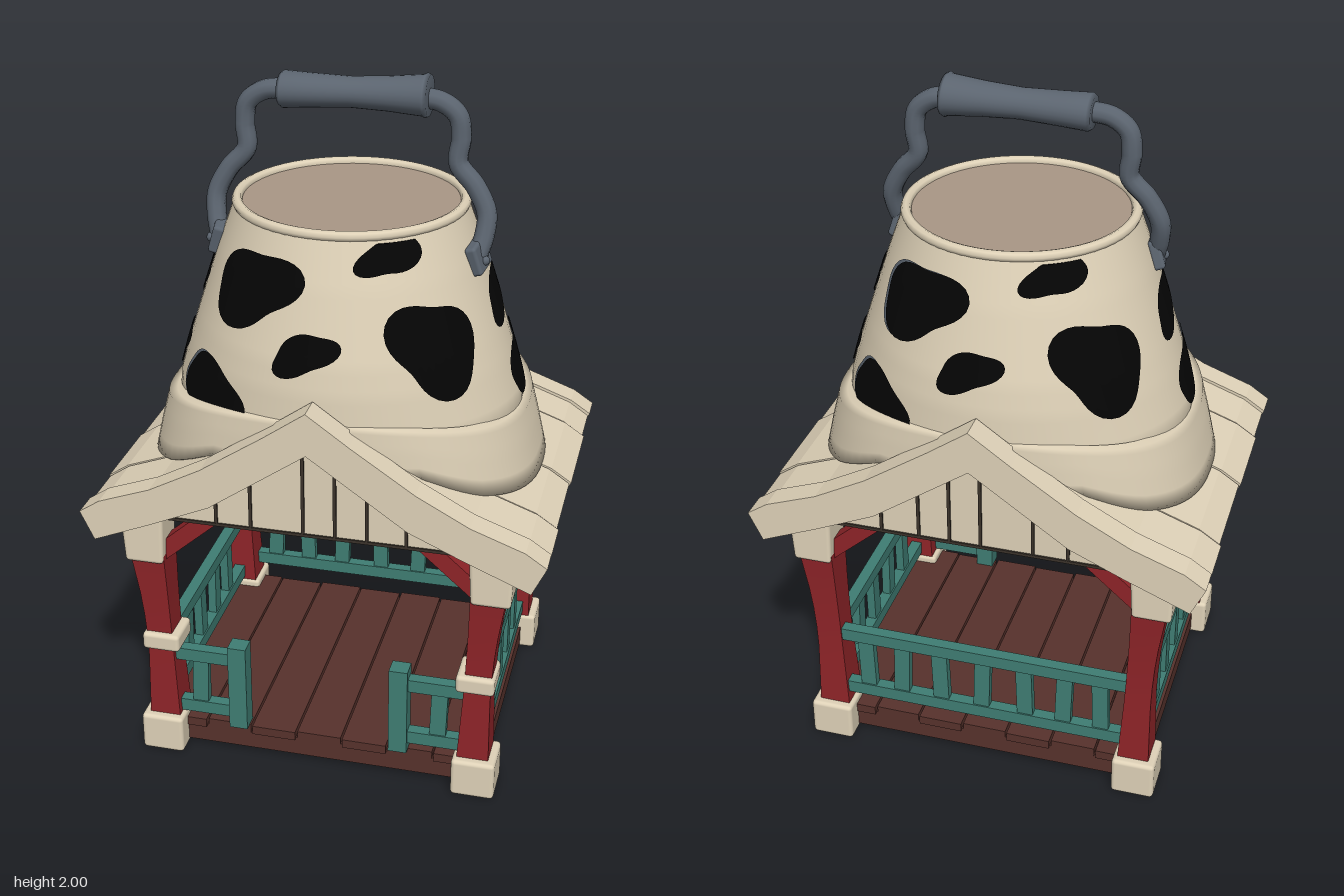
import * as THREE from 'three';
import { ParametricGeometry } from 'three/addons/geometries/ParametricGeometry.js';
import { RoundedBoxGeometry } from 'three/addons/geometries/RoundedBoxGeometry.js';

const mat = (name, color, side = THREE.FrontSide) => {
  const m = new THREE.MeshStandardMaterial({ color, side });
  m.name = name;
  return m;
};

export function createModel() {
  const cream = mat('cream', 0xdfd2b8);
  const red = mat('red', 0x8e2428);
  const teal = mat('teal', 0x3f7d73);
  const brown = mat('dark brown', 0x57322c);
  const grey = mat('grey metal', 0x5b646f);
  const lidTan = mat('lid tan', 0xaa9786);
  const black = mat('black', 0x050505, THREE.DoubleSide);
  const gap = mat('gap brown', 0x3a322a);

  const root = new THREE.Group();
  root.name = 'bucketGazebo';
  const add = (name, geo, material, parent = root) => {
    const m = new THREE.Mesh(geo, material);
    m.name = name;
    parent.add(m);
    return m;
  };
  const box = (name, w, h, d, x, y, z, material, parent) => {
    const m = add(name, new THREE.BoxGeometry(w, h, d), material, parent);
    m.position.set(x, y, z);
    return m;
  };
  const block = (name, w, h, d, x, y, z, material, r = 0.012) => {
    const m = add(name, new RoundedBoxGeometry(w, h, d, 2, r), material);
    m.position.set(x, y, z);
    return m;
  };
  // Square beam from a to b
  const beam = (name, a, b, w, material) => {
    const m = add(name, new THREE.BoxGeometry(w, w, a.distanceTo(b)), material);
    m.position.copy(a).lerp(b, 0.5);
    m.lookAt(b);
    return m;
  };
  // Piecewise linear lookup in a table of [key, value...]
  const sample = (table, k, col = 1) => {
    let i = 0;
    while (i < table.length - 2 && k > table[i + 1][0]) i++;
    const t = THREE.MathUtils.clamp((k - table[i][0]) / (table[i + 1][0] - table[i][0]), 0, 1);
    return THREE.MathUtils.lerp(table[i][col], table[i + 1][col], t);
  };
  const V = (x, y, z) => new THREE.Vector3(x, y, z);

  // Floor
  box('floorBase', 0.98, 0.06, 0.82, 0, 0.045, 0, brown);
  for (let i = 0; i < 7; i++) {
    box('floorPlank', 0.132, 0.028, 0.835 - (i % 2) * 0.012, -0.414 + i * 0.138, 0.083, 0, brown);
  }

  // Corner posts: curved shafts with footings, caps, bands and braces
  const postShape = [[0.1, 0.466, 0.047], [0.35, 0.472, 0.038], [0.5, 0.48, 0.04], [0.68, 0.496, 0.051]];
  for (const sx of [-1, 1]) for (const sz of [-1, 1]) {
    const shaft = new THREE.BoxGeometry(2, 0.58, 2, 1, 8, 1);
    const p = shaft.attributes.position;
    for (let i = 0; i < p.count; i++) {
      const y = p.getY(i) + 0.39, h = sample(postShape, y, 2);
      p.setXYZ(i, sx * sample(postShape, y) + p.getX(i) * h, y, sz * 0.394 + p.getZ(i) * (h + 0.004));
    }
    shaft.computeVertexNormals();
    add('post', shaft, red);
    block('footing', 0.128, 0.12, 0.132, sx * 0.471, 0.06, sz * 0.403, cream);

    const cap = block('postCap', 0.13, 0.2, 0.13, sx * 0.502, 0.745, sz * 0.4, cream);
    const c = cap.geometry.attributes.position;
    for (let i = 0; i < c.count; i++) {
      const k = 0.86 + 0.14 * Math.min(1, (c.getY(i) + 0.1) / 0.12);
      c.setX(i, c.getX(i) * k);
      c.setZ(i, c.getZ(i) * k);
    }
    if (sz > 0) block('postBand', 0.112, 0.055, 0.12, sx * 0.467, 0.375, 0.395, cream);
    beam('crossBrace', V(sx * 0.47, 0.66, sz * 0.4), V(sx * 0.27, 0.835, sz * 0.4), 0.05, red);
    beam('sideBrace', V(sx * 0.49, 0.66, sz * 0.39), V(sx * 0.49, 0.8, sz * 0.19), 0.05, red);
  }

  // Railings, built along x and then placed
  const railing = (name, x0, x1, low, high, sticks, place) => {
    const g = new THREE.Group();
    g.name = name;
    for (const y of [low, high]) box('rail', x1 - x0, 0.04, 0.035, (x0 + x1) / 2, y, 0, teal, g);
    sticks.forEach((x, i) => {
      const s = box('baluster', 0.048, high - low, 0.026, x, (low + high) / 2, 0, teal, g);
      s.rotation.z = (i % 2 ? 1 : -1) * 0.03;
    });
    place(g);
    root.add(g);
    return g;
  };
  railing('backRailing', -0.45, 0.45, 0.178, 0.375, [-0.36, -0.25, -0.13, 0, 0.13, 0.25, 0.36], g => { g.position.z = -0.415; });
  for (const s of [-1, 1]) {
    railing('sideRailing', -0.4, 0.4, 0.15, 0.35, [-0.2, -0.07, 0.07, 0.2], g => {
      g.rotation.y = Math.PI / 2;
      g.position.x = s * 0.475;
    });
    const front = railing('frontRailing', -0.1, 0.1, 0.145, 0.325, [s * 0.015], g => { g.position.set(s * 0.345, 0, 0.405); });
    box('railingPost', 0.055, 0.28, 0.055, -s * 0.103, 0.235, 0, teal, front);
  }

  // Gabled roof: each slope is a curved section drawn along z
  const roofTop = [[0, 1.21], [0.12, 1.125], [0.3, 1.005], [0.45, 0.925], [0.6, 0.87], [0.66, 0.83]];
  const roofLow = [[0.62, 0.745], [0.45, 0.815], [0.28, 0.89], [0, 1.085]];
  const extrude = (pts, depth, z) => {
    const g = new THREE.ExtrudeGeometry(new THREE.Shape(pts.map(q => new THREE.Vector2(...q))), { depth, bevelEnabled: false });
    return g.translate(0, 0, z);
  };
  const slope = (s, k, drop, lift) => [
    ...roofTop.map(([x, y]) => [s * x * k, y - drop]), ...roofLow.map(([x, y]) => [s * x * k, y + lift])];
  const cuts = [-0.44, -0.295, 0.018, 0.29, 0.44];
  for (const s of [-1, 1]) {
    for (const z of [-0.52, 0.44]) add('bargeBoard', extrude(slope(s, 1, 0, 0), 0.08, z), cream);
    add('roofSlab', extrude(slope(s, 0.985, 0.016, 0.006), 0.88, -0.44), cream);
    // Planks with uneven eaves
    for (let i = 0; i < 4; i++) {
      const k = 1 - 0.008 * ((i + (s > 0 ? 1 : 0)) % 2);
      add('roofPlank', extrude(slope(s, k, 0.006, 0.003), cuts[i + 1] - cuts[i] - 0.006, cuts[i] + 0.003), cream);
    }
  }
  // Gable panels with dark board gaps
  for (const s of [-1, 1]) {
    add('gablePanel', extrude([[-0.46, 0.815], [0.46, 0.815], [0.28, 0.93], [0, 1.12], [-0.28, 0.93]], 0.04, s * 0.46 - 0.02), cream);
    for (const x of [-0.27, -0.17, -0.02, 0.07, 0.16, 0.27]) {
      const top = sample([...roofLow].reverse(), Math.abs(x));
      box('boardGap', 0.009, top - 0.825, 0.006, x, (top + 0.825) / 2, s * 0.482, gap);
    }
    box('gableSill', 0.88, 0.009, 0.006, 0, 0.82, s * 0.482, gap);
    box('ceilingShadowGap', 0.9, 0.008, 0.07, 0, 0.823, s * 0.405, black);
  }
  box('ceiling', 0.92, 0.02, 0.86, 0, 0.835, 0, brown);

  // Bucket body: elliptical below, round at the rim
  const body = [[0.92, 0.495, 0.43], [1.1, 0.503, 0.441], [1.2, 0.474, 0.436], [1.3, 0.442, 0.421], [1.5, 0.376, 0.37], [1.64, 0.326, 0.326]];
  const onBody = (a, y, out, t) => t.set((sample(body, y) + out) * Math.cos(a), y, (sample(body, y, 2) + out) * Math.sin(a));
  add('bucketBody', new ParametricGeometry((u, v, t) => onBody(-u * Math.PI * 2, 0.92 + v * 0.72, 0, t), 64, 18), cream);
  const rim = add('bucketRim', new THREE.TorusGeometry(0.319, 0.015, 8, 56), cream);
  rim.rotation.x = Math.PI / 2;
  rim.position.y = 1.638;
  const lid = add('bucketLid', new THREE.CylinderGeometry(0.315, 0.315, 0.02, 56), lidTan);
  lid.position.y = 1.626;

  // Skirt whose lower edge follows the roof
  const pow = (c, n) => Math.sign(c) * Math.pow(Math.abs(c), 2 / n);
  add('bucketSkirt', new ParametricGeometry((u, v, t) => {
    const a = -u * Math.PI * 2, c = pow(Math.cos(a), 2.4), s = pow(Math.sin(a), 2.4);
    const top = 1.075 + 0.07 * s * s;
    const low = Math.min(1.0, sample(roofTop, 0.57 * Math.abs(c)) - 0.005);
    const k = v * 4;
    const rx = sample([[0, 0.54], [1, 0.572], [2, 0.548], [3, 0.524], [4, 0.475]], k);
    const rz = sample([[0, 0.44], [1, 0.46], [2, 0.46], [3, 0.458], [4, 0.42]], k);
    const h = sample([[0, -0.05], [1, 0], [2, 0.5], [3, 0.94], [4, 1]], k);
    t.set(rx * c, low + (top - low) * h, rz * s);
  }, 80, 8), cream);

  // Painted patches: angle, height, half width, half height, slant, phase; repeated half a turn on
  const patches = [
    [121, 1.475, 0.145, 0.105, 0.1, 0.4], [59, 1.59, 0.085, 0.055, 0.25, 2],
    [94, 1.33, 0.085, 0.058, 0.25, 1], [45, 1.335, 0.135, 0.128, -0.05, 3.1],
    [133, 1.165, 0.135, 0.085, -0.1, 1.2], [-4, 1.395, 0.11, 0.07, 0.25, 0.8],
    [-6, 1.185, 0.125, 0.075, 0.2, 0.2],
  ];
  const patch = (name, [deg, y0, w, h, slant, ph], turn, shift, out, material) => {
    const a0 = THREE.MathUtils.degToRad(deg + turn);
    add(name, new ParametricGeometry((u, v, t) => {
      const f = -u * Math.PI * 2;
      const r = v * (1 + 0.09 * Math.sin(2 * f + ph) + 0.14 * Math.sin(3 * f + ph * 2));
      const du = r * w * Math.cos(f), y = Math.min(1.622, y0 + r * h * Math.sin(f) + slant * du);
      onBody(a0 - (du - shift) / sample(body, y0), y, out, t);
    }, 40, 6), material);
  };
  for (const p of patches) for (const turn of [0, 180]) patch('patch', p, turn, 0, 0.005, black);
  // Thin grey fringes beside a few patches
  for (const [i, turn] of [[4, 0], [4, 180], [0, 180]]) patch('patchFringe', patches[i], turn, 0.018, 0.003, grey);

  // Carrying handle: bent rods, mounting plates and a waisted grip
  const rod = [[0.18, 1.935, 0], [0.25, 1.925, 0], [0.295, 1.89, 0], [0.305, 1.83, 0], [0.3, 1.76, 0.005],
    [0.35, 1.7, 0.012], [0.385, 1.63, 0.022], [0.383, 1.57, 0.04], [0.37, 1.52, 0.06]];
  for (const s of [-1, 1]) {
    const path = new THREE.CatmullRomCurve3(rod.map(([x, y, z]) => V(s * x, y, z)));
    add('handleRod', new THREE.TubeGeometry(path, 48, 0.028, 10), grey);
    const plate = block('handlePlate', 0.035, 0.085, 0.095, s * 0.372, 1.52, 0.063, grey, 0.01);
    plate.rotation.set(0.15, -s * 0.15, s * 0.3);
    const bolt = add('handleBolt', new THREE.SphereGeometry(0.014, 10, 8), grey);
    bolt.position.set(s * 0.392, 1.51, 0.07);
  }
  const profile = [[0, -0.2], [0.044, -0.2], [0.051, -0.19], [0.047, -0.12], [0.042, 0], [0.047, 0.1], [0.056, 0.2], [0.06, 0.207], [0.055, 0.217], [0, 0.217]];
  const grip = add('handleGrip', new THREE.LatheGeometry(profile.map(q => new THREE.Vector2(...q)), 24), grey);
  grip.rotation.z = -Math.PI / 2 + 0.02;
  grip.scale.z = 1.18;
  grip.position.y = 1.936;

  return root;
}
